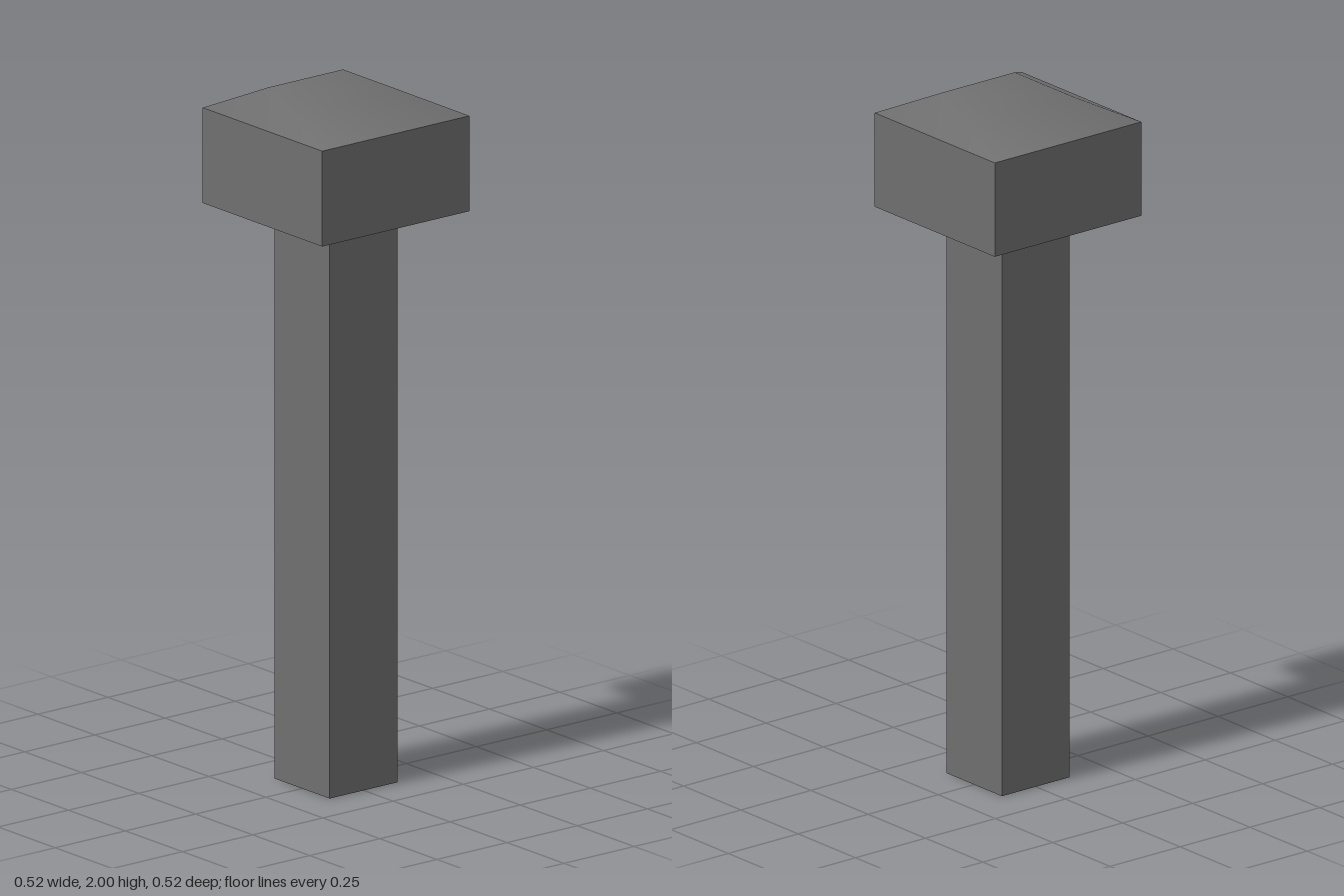
import * as THREE from 'three';
import { toCreasedNormals } from 'three/addons/utils/BufferGeometryUtils.js';

const material = new THREE.MeshStandardMaterial({ color: 0x6f6f6f, side: THREE.DoubleSide });

// Square cross-sections stacked along y; profile rows are [half width, height]
function squareLoft(name, profile) {
  const points = profile.map(([half, y]) => new THREE.Vector2(half * Math.SQRT2, y));
  const geometry = new THREE.LatheGeometry(points, 4, Math.PI / 4);
  // Shallow bevels shade smoothly, upright edges stay sharp
  const mesh = new THREE.Mesh(toCreasedNormals(geometry, 0.7), material);
  mesh.name = name;
  return mesh;
}

export function createModel() {
  const group = new THREE.Group();
  group.name = 'squarePost';

  // Hollow shaft, open at the foot
  group.add(squareLoft('shaft', [[0.121, 0], [0.121, 1.605]]));

  // Block head: flared underside, straight sides, bevelled top
  group.add(squareLoft('head', [
    [0.121, 1.605],
    [0.262, 1.659],
    [0.262, 1.935],
    [0.132, 2],
    [0, 2],
  ]));

  return group;
}
